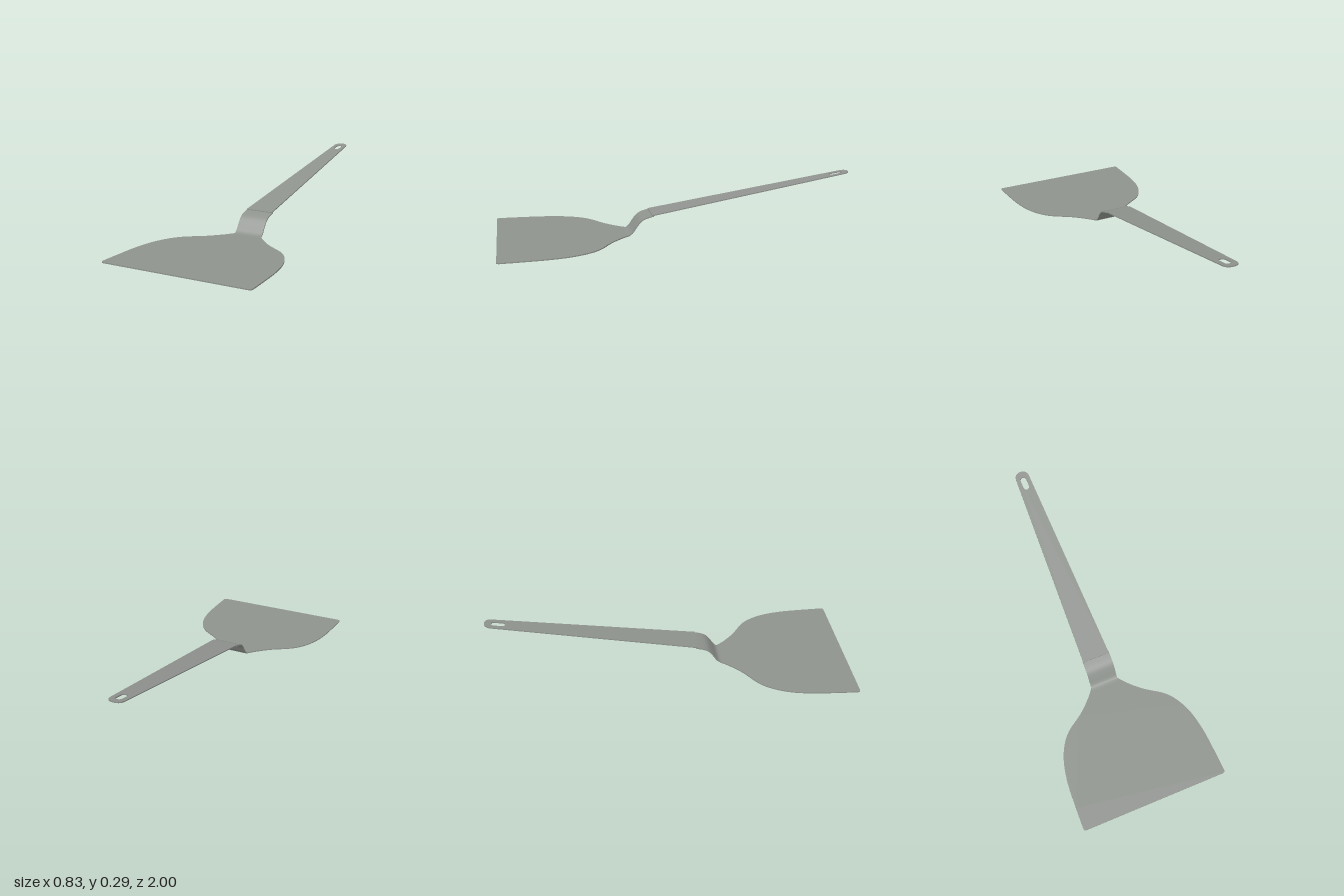
import * as THREE from 'three';

const THICK = 0.006;

// Flat plate drawn in x/z, with its underside at y = 0
function plate(shape) {
  return new THREE.ExtrudeGeometry(shape, { depth: THICK, bevelEnabled: false, curveSegments: 16 })
    .rotateX(Math.PI / 2)
    .translate(0, THICK, 0);
}

// Flared blade: half outline from the neck to the front corner, then mirrored
function bladeGeometry() {
  const half = new THREE.SplineCurve([
    [0.079, 0.285], [0.12, 0.335], [0.19, 0.4], [0.29, 0.47], [0.345, 0.54],
    [0.382, 0.63], [0.402, 0.74], [0.409, 0.85], [0.414, 0.98],
  ].map(([x, z]) => new THREE.Vector2(x, z))).getPoints(48);
  const shape = new THREE.Shape(half);
  shape.quadraticCurveTo(0.414, 1, 0.4, 1);
  shape.lineTo(-0.4, 1);
  shape.quadraticCurveTo(-0.414, 1, -0.414, 0.98);
  for (const p of half.slice(0, -1).reverse()) shape.lineTo(-p.x, p.y);
  return plate(shape);
}

// Neck: thin strip bent along an S-shaped side profile
function neckGeometry() {
  const path = new THREE.SplineCurve([
    [0.305, 0.003], [0.285, 0.006], [0.268, 0.019], [0.245, 0.052],
    [0.222, 0.079], [0.195, 0.094], [0.15, 0.106],
  ].map(([z, y]) => new THREE.Vector2(z, y)));
  const geo = new THREE.BoxGeometry(0.158, THICK, 1, 1, 1, 28);
  const pos = geo.attributes.position;
  for (let i = 0; i < pos.count; i++) {
    const t = THREE.MathUtils.clamp(0.5 - pos.getZ(i), 0, 1);
    const p = path.getPoint(t), d = path.getTangent(t), h = pos.getY(i);
    pos.setXYZ(i, pos.getX(i), p.y - d.x * h, p.x + d.y * h);
  }
  geo.computeVertexNormals();
  return geo;
}

// Handle: tapered plate with rounded end and hanging slot, sloped upward
function handleGeometry() {
  const shape = new THREE.Shape();
  shape.moveTo(0.077, 0.16);
  shape.lineTo(0.04, -0.965);
  shape.bezierCurveTo(0.038, -0.988, 0.022, -1, 0, -1);
  shape.bezierCurveTo(-0.022, -1, -0.038, -0.988, -0.04, -0.965);
  shape.lineTo(-0.077, 0.16);
  shape.closePath();

  const slot = new THREE.Path();
  const r = 0.017;
  slot.absarc(0, -0.905, r, 0, Math.PI, false);
  slot.absarc(0, -0.947, r, Math.PI, Math.PI * 2, false);
  slot.closePath();
  shape.holes.push(slot);

  const geo = plate(shape);
  const pos = geo.attributes.position;
  for (let i = 0; i < pos.count; i++) {
    pos.setY(i, pos.getY(i) + 0.105 + (0.16 - pos.getZ(i)) * 0.157);
  }
  geo.computeVertexNormals();
  return geo;
}

export function createModel() {
  const steel = new THREE.MeshStandardMaterial({ color: 0x8f938e });
  steel.name = 'brushedSteel';
  const group = new THREE.Group();
  group.name = 'spatula';
  const parts = { blade: bladeGeometry(), neck: neckGeometry(), handle: handleGeometry() };
  for (const [name, geo] of Object.entries(parts)) {
    const mesh = new THREE.Mesh(geo, steel);
    mesh.name = name;
    group.add(mesh);
  }
  return group;
}
